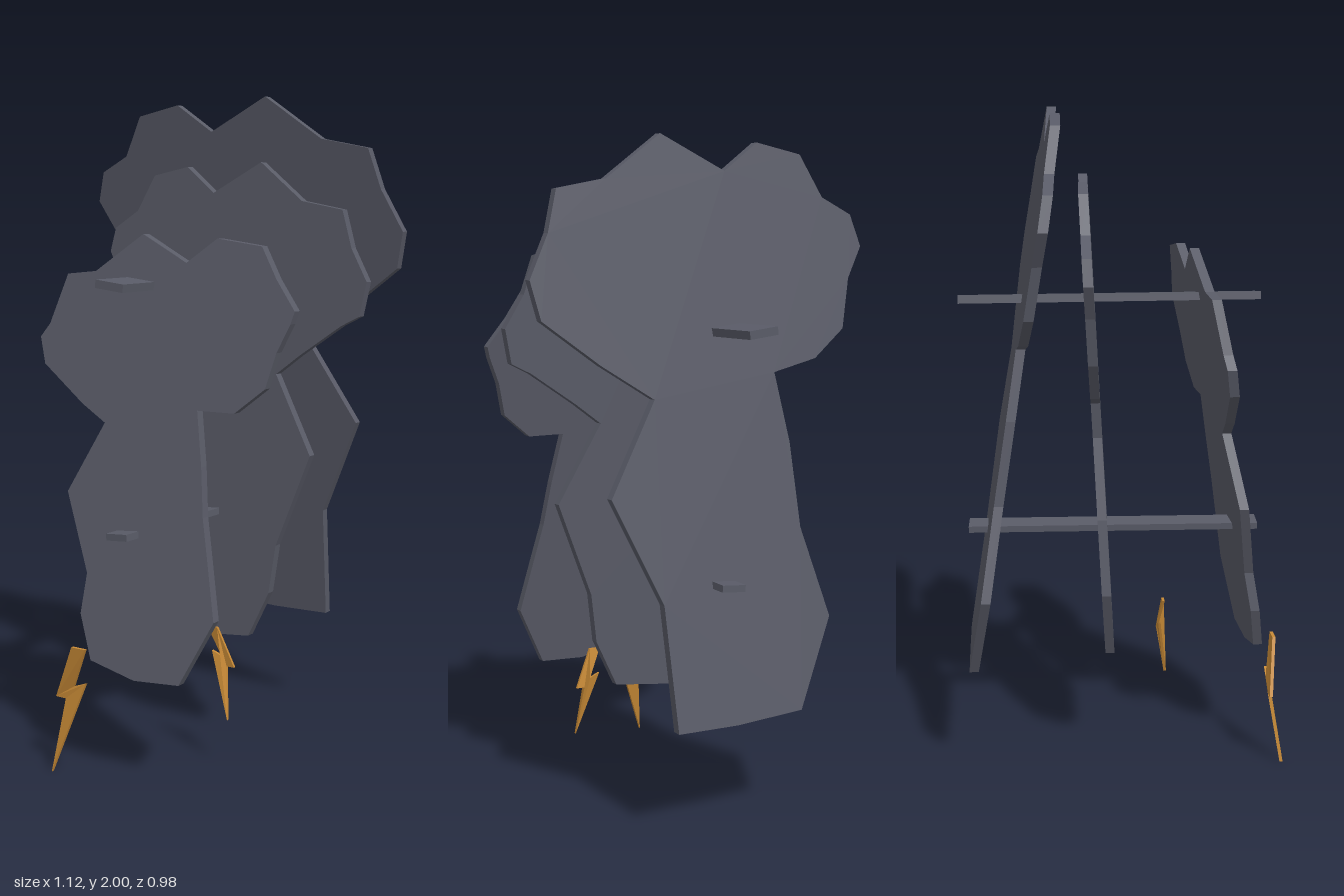
import * as THREE from 'three';

const slate = new THREE.MeshStandardMaterial({ color: 0x595b67 });
slate.name = 'slate';
const gold = new THREE.MeshStandardMaterial({ color: 0xc88a36 });
gold.name = 'gold';

// Extrude an outline about z = 0, then slide every vertex along z by a rule of x and y
function plate(name, points, depth, offsetZ, material) {
  const shape = new THREE.Shape(points.map(([x, y]) => new THREE.Vector2(x, y)));
  const geo = new THREE.ExtrudeGeometry(shape, { depth, bevelEnabled: false });
  const p = geo.attributes.position;
  for (let i = 0; i < p.count; i++) {
    p.setZ(i, p.getZ(i) - depth / 2 + offsetZ(p.getX(i), p.getY(i)));
  }
  geo.computeVertexNormals();
  const mesh = new THREE.Mesh(geo, material);
  mesh.name = name;
  return mesh;
}

// Cloud outlines, in hundredths of a unit, clockwise from the left of the head
const frontCloud = [
  [-35, 132], [-30, 147], [-20, 148], [-4.5, 159], [11, 151], [20.5, 158], [35, 156], [40.5, 147],
  [47, 138.5], [46, 135], [42.5, 127], [40, 117], [31, 109.7], [19, 109.7], [22, 94], [24, 80],
  [27, 67], [30.5, 51.5], [21, 32.5], [6, 31.5], [-9.5, 35], [-14.5, 48], [-13.5, 60], [-23, 83],
  [-12, 104], [-20.5, 109], [-35.5, 120], [-38, 128],
];
const middleCloud = [
  [-42, 152.5], [-40, 160], [-31, 165.5], [-24.5, 176.5], [-11.5, 179], [-1.3, 171], [16, 180],
  [31, 168.5], [45, 166], [48.5, 155], [54, 145.5], [52, 135.5], [46, 132.5], [32, 123], [24, 117],
  [37, 93.5], [26, 65], [24, 50], [17, 35.5], [-5.5, 32.8], [-13, 35], [-23, 57],
  [-20.5, 80], [-15, 104], [-17, 115], [-25, 118], [-33, 129], [-37, 143],
];
const backCloud = [
  [-56, 168.5], [-53, 178], [-43, 183], [-36, 195.5], [-21, 198.5], [-9, 190], [11.5, 200],
  [30, 187], [45.5, 184], [49, 172], [55.5, 159.5], [53, 148.5], [36, 136], [20, 126], [36, 99.5],
  [22, 69], [20.5, 33], [1, 32.5], [-21.5, 33.5], [-34, 59.5], [-26, 86.5], [-24.5, 111.5],
  [-21, 132], [-36, 135.5], [-47, 144], [-50.5, 159],
];
const clouds = [
  ['frontCloud', frontCloud, (x, y) => 0.478 - 0.166 * y - 0.05 * x],
  ['middleCloud', middleCloud, (x, y) => -0.018 - 0.053 * y + 0.057 * x],
  ['backCloud', backCloud, (x, y) => -0.515 + 0.158 * y],
];

// Lightning bolt outline, and its bend in depth by height
const boltOutline = [
  [-0.14, 0.39], [-0.09, 0.39], [-0.15, 0.262], [-0.103, 0.28],
  [-0.204, 0], [-0.177, 0.222], [-0.214, 0.222],
];
const boltBend = (y) => (y > 0.25 ? 0.445 + (y - 0.25) * 0.16 : 0.445 + (0.25 - y) * 0.17);

// Flat beam running front to back, slightly yawed and rolled
function beam(name, width, height, y, front, back, roll) {
  const [xf, zf] = front, [xb, zb] = back;
  const geo = new THREE.BoxGeometry(width, height, zf - zb);
  const mesh = new THREE.Mesh(geo, slate);
  mesh.position.set((xf + xb) / 2, y, (zf + zb) / 2);
  mesh.rotation.set(0, Math.atan2(xf - xb, zf - zb), roll);
  mesh.name = name;
  return mesh;
}

export function createModel() {
  const model = new THREE.Group();
  model.name = 'stormCloud';

  for (const [name, outline, tilt] of clouds) {
    const points = outline.map(([x, y]) => [x / 100, y / 100]);
    model.add(plate(name, points, 0.028, tilt, slate));
  }

  model.add(beam('upperBeam', 0.096, 0.024, 1.447, [-0.035, 0.412], [-0.06, -0.488], -0.12));
  model.add(beam('lowerBeam', 0.075, 0.02, 0.727, [-0.007, 0.425], [0.022, -0.472], 0.08));

  // Large bolt, and a smaller mirrored one behind it
  model.add(plate('largeBolt', boltOutline, 0.01, (x, y) => boltBend(y), gold));
  const s = 0.71;
  const small = boltOutline.map(([x, y]) => [0.21 - (x + 0.204) * s, 0.145 + y * s]);
  const smallBend = (x, y) => 0.165 + (boltBend((y - 0.145) / s) - 0.487) * s;
  model.add(plate('smallBolt', small, 0.008, smallBend, gold));

  return model;
}
